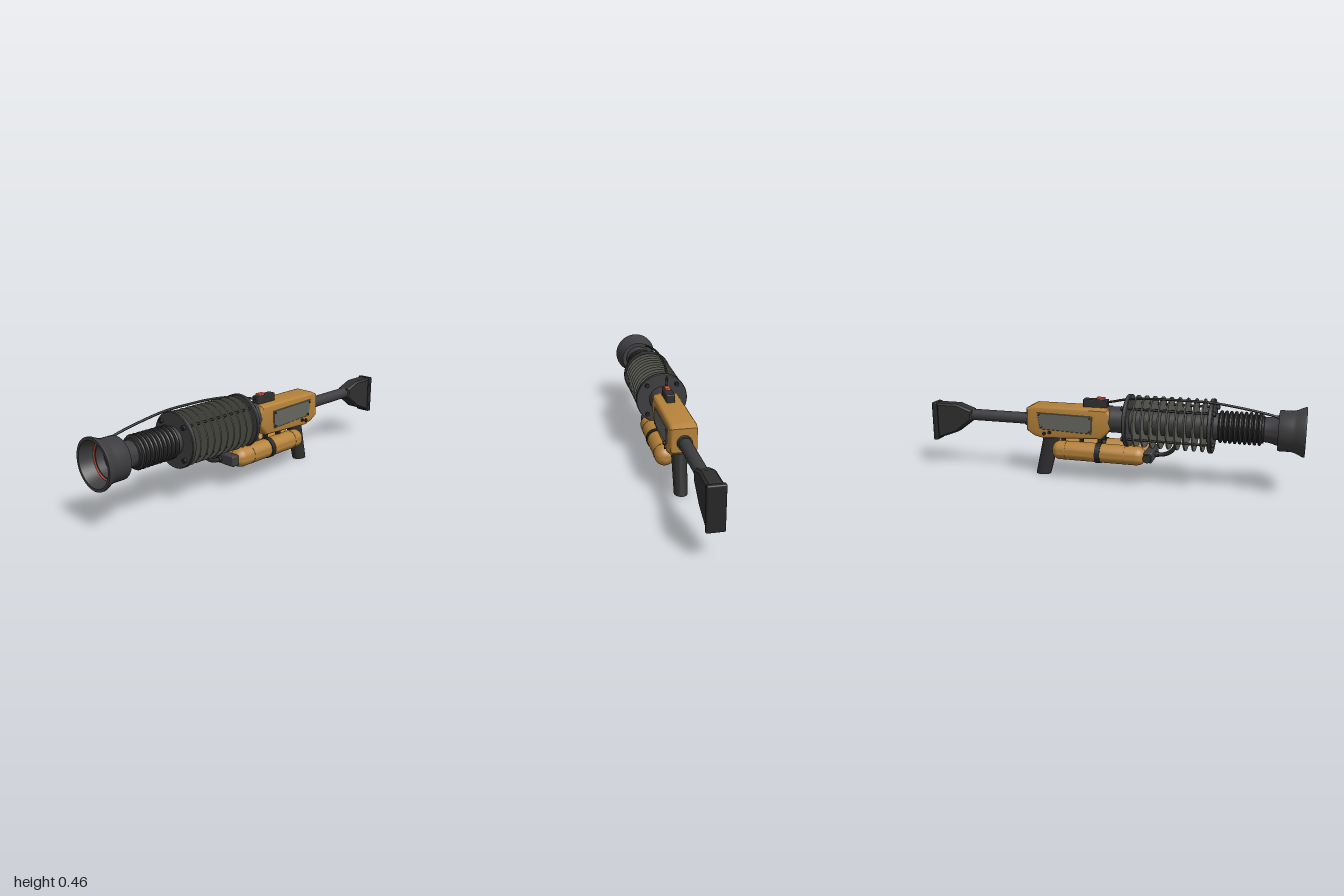
import * as THREE from 'three';
import { toCreasedNormals } from 'three/addons/utils/BufferGeometryUtils.js';
import { RoundedBoxGeometry } from 'three/addons/geometries/RoundedBoxGeometry.js';

const mat = (color) => new THREE.MeshStandardMaterial({ color });
const dark = mat(0x3e3e40), black = mat(0x262626), rubber = mat(0x303030);
const ochre = mat(0xb5823a), finGrey = mat(0x5c5c54), plateGrey = mat(0x66665f), red = mat(0xe0573f);
const AXIS = 0.325; // barrel height

export function createModel() {
  const root = new THREE.Group();

  const add = (name, geo, material, x = 0, y = 0, z = 0) => {
    const m = new THREE.Mesh(geo, material);
    m.name = name;
    m.position.set(x, y, z);
    root.add(m);
    return m;
  };
  // Turned part along z, from [radius, z] pairs ordered back to front
  const turned = (pts, seg = 48) => toCreasedNormals(
    new THREE.LatheGeometry(pts.map(([r, z]) => new THREE.Vector2(r, z)), seg).rotateX(Math.PI / 2), 0.6);
  const rodZ = (r, len, seg = 16) => new THREE.CylinderGeometry(r, r, len, seg).rotateX(Math.PI / 2);
  const rodX = (r, len, seg = 16) => new THREE.CylinderGeometry(r, r, len, seg).rotateZ(Math.PI / 2);
  // Side profile of [z, y] pairs, given a width across x and a bevelled edge
  const slab = (pts, width, bevel, segments = 1) => {
    const shape = new THREE.Shape(pts.map(([z, y]) => new THREE.Vector2(z, y)));
    const geo = new THREE.ExtrudeGeometry(shape, {
      depth: width - 2 * bevel, bevelThickness: bevel, bevelSize: bevel, bevelOffset: -bevel, bevelSegments: segments,
    });
    geo.translate(0, 0, bevel - width / 2).rotateY(-Math.PI / 2);
    return toCreasedNormals(geo, 0.5);
  };
  const tube = (pts, r, seg = 60) => new THREE.TubeGeometry(
    new THREE.CatmullRomCurve3(pts.map((p) => new THREE.Vector3(...p))), seg, r, 10);

  // Muzzle cup with its hollow mouth
  add('muzzle', turned([
    [0.06, 0.79], [0.064, 0.83], [0.076, 0.87], [0.098, 0.87], [0.101, 0.875], [0.101, 0.935], [0.106, 0.955],
    [0.122, 0.99], [0.122, 1], [0.108, 1], [0.104, 0.985], [0.094, 0.93], [0.082, 0.93], [0.08, 0.89], [0, 0.89],
  ]), dark, 0, AXIS);
  add('muzzleRing', new THREE.TorusGeometry(0.09, 0.004, 8, 64), red, 0, AXIS, 0.934);

  // Ribbed bellows
  const bellows = [[0.06, 0.575]];
  for (let i = 0; i < 9; i++) {
    const z = 0.58 + i * 0.024;
    bellows.push([0.069, z], [0.08, z + 0.004], [0.083, z + 0.01], [0.08, z + 0.016], [0.069, z + 0.02]);
  }
  bellows.push([0.069, 0.8], [0.055, 0.805]);
  add('bellows', turned(bellows), rubber, 0, AXIS);

  // Barrel and cooling fins
  add('barrel', rodZ(0.068, 0.62, 40), dark, 0, AXIS, 0.29);
  for (const z of [0.118, 0.545]) {
    add('finFlange', turned([
      [0, -0.011], [0.135, -0.011], [0.138, -0.008], [0.138, 0.008], [0.135, 0.011], [0, 0.011],
    ]), dark, 0, AXIS, z);
  }
  for (let i = 0; i < 9; i++) {
    add('coolingFin', rodZ(0.135, 0.007, 48), finGrey, 0, AXIS, 0.16 + i * 0.043);
  }
  for (let i = 0; i < 4; i++) {
    const a = Math.PI / 4 + i * Math.PI / 2;
    const x = Math.cos(a) * 0.113, y = AXIS + Math.sin(a) * 0.113;
    add('tieRod', rodZ(0.006, 0.48), black, x, y, 0.332);
    for (const z of [0.1, 0.562]) add('tieNut', rodZ(0.012, 0.016, 6), black, x, y, z);
  }

  // Receiver body
  add('receiver', slab([
    [0.015, 0.388], [0.04, 0.335], [0.032, 0.285], [-0.02, 0.226], [-0.34, 0.21],
    [-0.39, 0.222], [-0.432, 0.25], [-0.432, 0.37], [-0.4, 0.386],
  ], 0.136, 0.02, 3), ochre);

  // Riveted side plates and side pins
  for (const s of [1, -1]) {
    add('sidePlate', slab([[-0.065, 0.348], [-0.07, 0.255], [-0.352, 0.264], [-0.368, 0.352]], 0.008, 0.002),
      plateGrey, s * 0.069);
    for (const [z, y] of [[-0.078, 0.337], [-0.082, 0.266], [-0.343, 0.274], [-0.355, 0.341]]) {
      add('rivet', rodX(0.005, 0.006, 8), black, s * 0.074, y, z);
    }
    for (const [z, y] of [[-0.3, 0.248], [-0.33, 0.24]]) {
      add('sidePin', rodX(0.009, 0.014, 10), black, s * 0.069, y, z);
    }
  }

  // Top switch with red button
  add('switchHousing', new RoundedBoxGeometry(0.044, 0.045, 0.13, 2, 0.005), rubber, 0, 0.406, -0.063);
  add('switchButton', new RoundedBoxGeometry(0.028, 0.016, 0.044, 2, 0.003), red, 0, 0.431, -0.036);

  // Cable over the fins
  add('cable', tube([
    [0, 0.412, -0.01], [-0.008, 0.422, 0.03], [-0.03, 0.444, 0.12], [-0.05, 0.457, 0.27], [-0.055, 0.459, 0.4],
    [-0.057, 0.456, 0.55], [-0.055, 0.435, 0.71], [-0.052, 0.41, 0.84], [-0.05, 0.395, 0.89],
  ], 0.006), black);

  // Stock
  add('stockTube', rodZ(0.031, 0.4, 24), dark, 0, 0.3, -0.6);
  add('stockCollar', rodZ(0.037, 0.03, 24), dark, 0, 0.3, -0.438);
  add('stock', slab([
    [-0.765, 0.328], [-0.765, 0.272], [-0.86, 0.2], [-0.975, 0.158], [-0.975, 0.358], [-0.85, 0.358],
  ], 0.076, 0.01), rubber);
  add('buttPad', new RoundedBoxGeometry(0.084, 0.213, 0.025, 2, 0.006), black, 0, 0.255, -0.9875);

  // Grip, sheared backwards toward its foot
  const grip = new THREE.CylinderGeometry(0.039, 0.034, 0.235, 24);
  const p = grip.attributes.position;
  for (let i = 0; i < p.count; i++) {
    const y = p.getY(i) + 0.1175;
    p.setXYZ(i, p.getX(i), y, p.getZ(i) * 1.2 - 0.362 + y * 0.245);
  }
  grip.computeVertexNormals();
  add('grip', toCreasedNormals(grip, 0.6), rubber);

  // Twin tanks, straps and hangers
  const tank = [[0, -0.287]];
  for (let i = 1; i <= 8; i++) {
    const a = i * Math.PI / 16;
    tank.push([0.05 * Math.sin(a), -0.245 - 0.042 * Math.cos(a)]);
  }
  tank.push([0.05, 0.17], [0.047, 0.19], [0.038, 0.205], [0.025, 0.215], [0, 0.215]);
  for (const s of [1, -1]) {
    const x = s * 0.057;
    add('tank', turned(tank, 32), ochre, x, 0.155);
    add('tankStrap', rodZ(0.054, 0.028, 32), black, x, 0.155, -0.03);
    for (const z of [-0.21, 0.11]) add('tankSeam', rodZ(0.0515, 0.006, 32), ochre, x, 0.155, z);
    for (const z of [-0.03, -0.13, -0.23]) {
      add('tankHanger', new THREE.BoxGeometry(0.02, 0.05, 0.02), black, s * 0.042, 0.212, z);
    }
  }

  // Manifold with knob and feed hose
  add('manifold', new RoundedBoxGeometry(0.18, 0.056, 0.045, 3, 0.008), dark, 0, 0.157, 0.235);
  add('valveKnob', rodX(0.022, 0.022, 12), rubber, -0.099, 0.157, 0.235);
  add('hoseNut', rodZ(0.016, 0.02, 6), black, 0, 0.155, 0.265);
  add('feedHose', tube([
    [0, 0.155, 0.25], [0, 0.155, 0.295], [0, 0.172, 0.335], [0, 0.205, 0.36], [0, 0.27, 0.37],
  ], 0.011, 30), black);

  return root;
}
